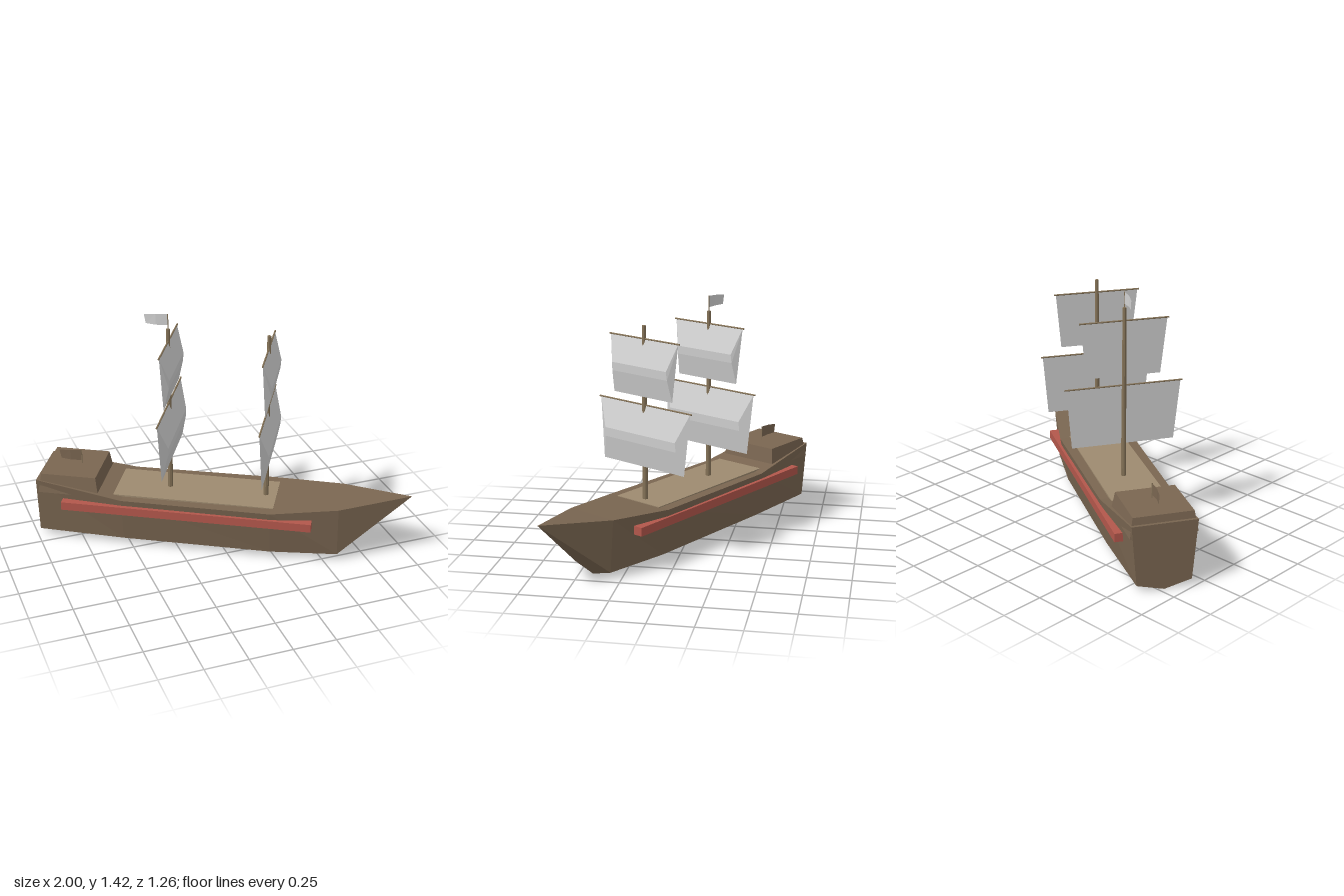
import * as THREE from 'three';

// Modelled with the bow along +x, then turned as a whole.
export function createModel() {
  const mat = (name, color) => {
    const m = new THREE.MeshStandardMaterial({ color, flatShading: true });
    m.name = name;
    return m;
  };
  const wood = mat('hull brown', 0x7a6651);
  const tan = mat('deck tan', 0x9d8a6f);
  const spar = mat('spar brown', 0x857358);
  const red = mat('rail red', 0xb3574b);
  const cloth = mat('sail grey', 0xd2d2d2);
  const clothFlag = mat('flag grey', 0xd2d2d2);
  clothFlag.side = THREE.DoubleSide;
  const woodFlag = mat('flag brown', 0x7a6651);
  woodFlag.side = THREE.DoubleSide;

  const ship = new THREE.Group();
  ship.name = 'ship';
  const add = (name, geo, material, x = 0, y = 0, z = 0, parent = ship) => {
    const m = new THREE.Mesh(geo, material);
    m.name = name;
    m.position.set(x, y, z);
    parent.add(m);
    return m;
  };
  // Flat-faced geometry from convex polygons of [x, y, z] points
  const polys = (faces) => {
    const pos = [];
    for (const f of faces)
      for (let i = 1; i < f.length - 1; i++) pos.push(...f[0], ...f[i], ...f[i + 1]);
    const g = new THREE.BufferGeometry();
    g.setAttribute('position', new THREE.Float32BufferAttribute(pos, 3));
    g.computeVertexNormals();
    return g;
  };

  // Hull: V-bottomed cross-sections [x, chine half-width, sheer half-width, sheer height]
  const rings = [
    [-1.02, 0.155, 0.185, 0.39],
    [-0.5, 0.175, 0.213, 0.315],
    [0.38, 0.175, 0.222, 0.32],
    [0.77, 0.135, 0.16, 0.35],
  ].map(([x, c, w, h]) => [[x, 0, 0], [x, 0.04, -c], [x, h, -w], [x, h, w], [x, 0.04, c]]);
  const tip = [1.178, 0.395, 0];
  const faces = [[...rings[0]].reverse()];
  for (let k = 0; k < rings.length; k++) {
    for (let i = 0; i < 5; i++) {
      const j = (i + 1) % 5;
      if (k < rings.length - 1) faces.push([rings[k][i], rings[k][j], rings[k + 1][j], rings[k + 1][i]]);
      else faces.push([rings[k][i], rings[k][j], tip]);
    }
  }
  add('hull', polys(faces), wood);

  // Deck planking
  add('deck', new THREE.BoxGeometry(0.95, 0.02, 0.32), tan, -0.083, 0.315, 0);

  // Side rails
  for (const s of [-1, 1])
    add('sideRail', new THREE.BoxGeometry(1.48, 0.05, 0.055), red, -0.12, 0.255, s * 0.204);

  // Stern cabin, tapering upward
  const cabin = new THREE.BoxGeometry(0.365, 0.115, 0.38);
  const p = cabin.attributes.position;
  for (let i = 0; i < p.count; i++)
    if (p.getY(i) > 0) p.setXYZ(i, p.getX(i) * 0.9, p.getY(i), p.getZ(i) * 0.9);
  cabin.computeVertexNormals();
  add('sternCabin', cabin, wood, -0.825, 0.3705, 0);

  // Sail: flat back, front bulging toward the bow, closed sides
  const sail = (half, height, midHalf) => {
    const rows = [
      [0, 0, half],
      [0.047, -height * 0.46, midHalf],
      [0.043, -height * 0.61, midHalf + 0.004],
      [0.014, -height, half - 0.033],
    ];
    const L = rows.map(([x, y, w]) => [x, y, w]);
    const R = rows.map(([x, y, w]) => [x, y, -w]);
    const f = [[R[0], R[3], L[3], L[0]], [L[0], L[3], L[2], L[1]], [R[0], R[1], R[2], R[3]]];
    for (let i = 0; i < 3; i++) f.push([L[i], L[i + 1], R[i + 1], R[i]]);
    return polys(f);
  };

  // Masts with yards and sails
  for (const [name, x] of [['foreMast', 0.328], ['aftMast', -0.246]]) {
    const g = new THREE.Group();
    g.name = name;
    g.position.x = x;
    ship.add(g);
    add('mastPole', new THREE.CylinderGeometry(0.011, 0.016, 1.035, 8), spar, 0, 0.8175, 0, g);
    for (const [label, y, yardHalf, sailHalf, height, midHalf] of [
      ['lower', 0.88, 0.345, 0.335, 0.36, 0.262],
      ['upper', 1.26, 0.259, 0.25, 0.33, 0.2],
    ]) {
      const yard = add(label + 'Yard', new THREE.CylinderGeometry(0.005, 0.005, 2 * yardHalf, 6), spar, 0, y, 0, g);
      yard.rotation.x = Math.PI / 2;
      add(label + 'Sail', sail(sailHalf, height, midHalf), cloth, 0, y, 0, g);
    }
  }

  // Flags streaming aft from thin staffs
  const flag = (name, x, base, top, material) => {
    const h = top - base;
    add(name + 'Staff', new THREE.CylinderGeometry(0.003, 0.003, h, 5), spar, x, base + h / 2, 0);
    const a = [0, 0, 0], b = [0, -0.068, 0];
    const c = [-0.07, -0.004, 0.006], d = [-0.068, -0.067, 0.006];
    const e = [-0.138, -0.01, -0.003], f = [-0.128, -0.065, -0.003];
    add(name, polys([[a, c, d, b], [c, e, f, d]]), material, x, top, 0);
  };
  flag('mastFlag', -0.246, 1.32, 1.425, clothFlag);
  flag('sternFlag', -0.785, 0.42, 0.515, woodFlag);

  ship.rotation.y = -Math.PI / 6;
  ship.position.set(-0.0225, 0, 0.039);
  const model = new THREE.Group();
  model.name = 'sailingShip';
  model.add(ship);
  return model;
}
